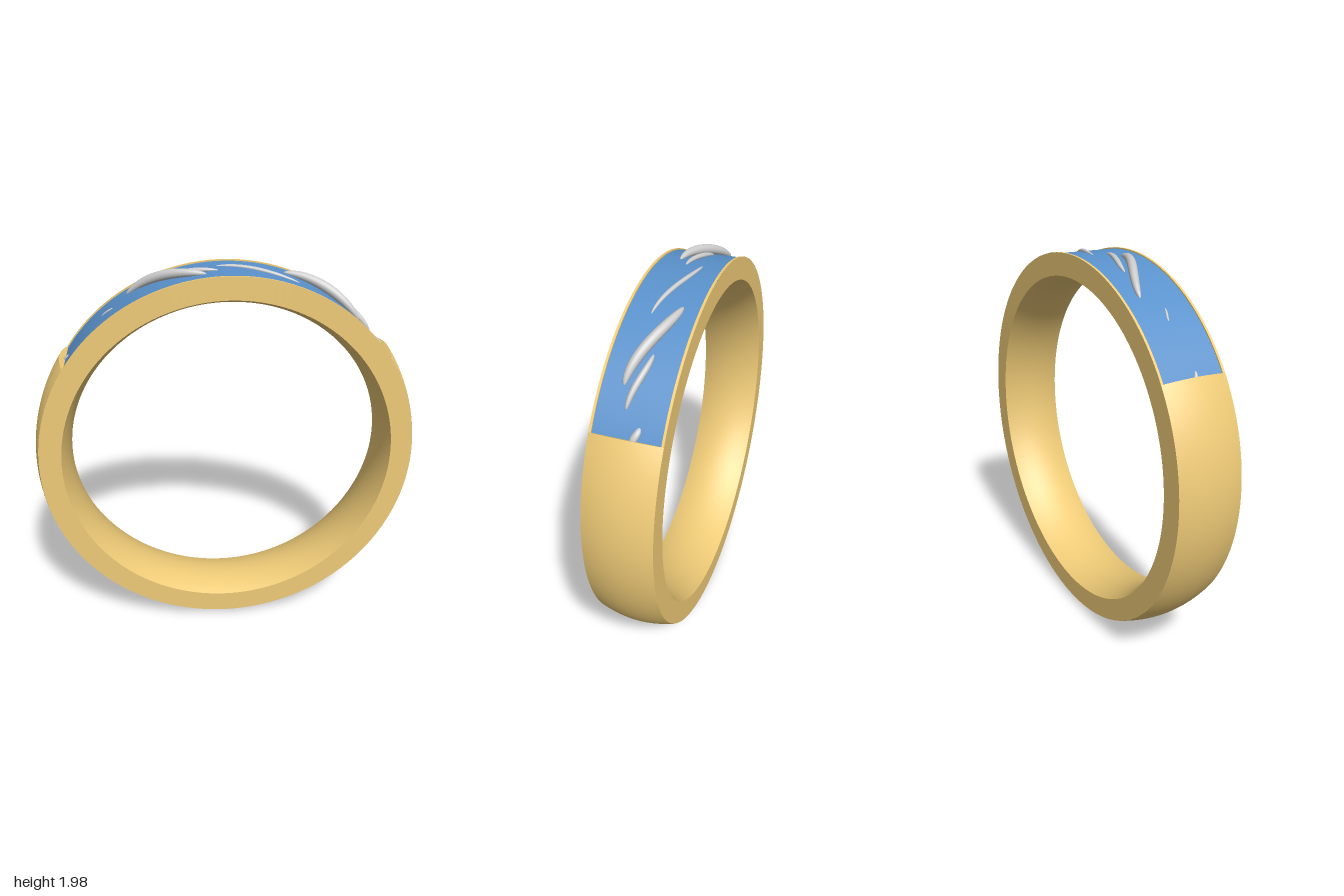
import * as THREE from 'three';

const CENTRE_Y = 1, HALF = 0.17, LIP = 0.158;
const R_EDGE = 0.972, R_CROWN = 1.0, R_FLOOR = 0.966, R_IN = 0.818, R_IN_EDGE = 0.858;
const END = THREE.MathUtils.degToRad(33.8); // angle above horizontal where the inlay starts

const gold = new THREE.MeshStandardMaterial({ color: 0xf0cc78, side: THREE.DoubleSide });
const blue = new THREE.MeshStandardMaterial({ color: 0x5a92cc, side: THREE.DoubleSide });
const silver = new THREE.MeshStandardMaterial({ color: 0xcccccc });

// Shallow bow from -z to +z: radius at the middle and at the edges
function bow(rMid, rEdge, half, n = 16) {
  return Array.from({ length: n + 1 }, (_, i) => {
    const t = (i / n) * 2 - 1;
    return new THREE.Vector2(rMid + (rEdge - rMid) * t * t, t * half);
  });
}

// Turn a (radius, z) profile about the z axis; angle 0 is at the bottom
function turn(name, profile, material, start = 0, length = Math.PI * 2) {
  const geo = new THREE.LatheGeometry(profile, 160, start, length).rotateX(Math.PI / 2);
  const mesh = new THREE.Mesh(geo, material);
  mesh.name = name;
  return mesh;
}

// Tapered, S-curved leaf lying on the inlay between two (x, z) points
function strand([x0, z0, x1, z1, width, height, lift]) {
  const geo = new THREE.SphereGeometry(1, 20, 36).rotateZ(-Math.PI / 2);
  const p = geo.attributes.position;
  const a0 = Math.asin(x0 / 0.975), a1 = Math.asin(x1 / 0.975);
  for (let i = 0; i < p.count; i++) {
    const u = p.getX(i), t = (u + 1) / 2;
    const s = THREE.MathUtils.lerp(t, t * t * (3 - 2 * t), 0.8);
    const a = THREE.MathUtils.lerp(a0, a1, t);
    const r = R_FLOOR + lift * (1 - u * u) + p.getY(i) * height;
    p.setXYZ(i, r * Math.sin(a), r * Math.cos(a), z0 + (z1 - z0) * s + p.getZ(i) * width);
  }
  geo.computeVertexNormals();
  const mesh = new THREE.Mesh(geo, silver);
  mesh.name = 'silverStrand';
  return mesh;
}

export function createModel() {
  const ring = new THREE.Group();
  ring.name = 'ring';
  ring.position.y = CENTRE_Y;
  const v = (r, z) => new THREE.Vector2(r, z);

  // Gold band: rounded inside, flat sides, domed outside below the inlay
  ring.add(turn('innerBand', bow(R_IN, R_IN_EDGE, HALF).reverse(), gold));
  ring.add(turn('backSide', [v(R_IN_EDGE, -HALF), v(R_EDGE, -HALF)], gold));
  ring.add(turn('frontSide', [v(R_EDGE, HALF), v(R_IN_EDGE, HALF)], gold));
  ring.add(turn('outerBand', bow(R_CROWN, R_EDGE, HALF), gold, -Math.PI / 2 - END, Math.PI + 2 * END));

  // Recessed inlay with thin lips along both sides
  const start = Math.PI / 2 + END, arc = Math.PI - 2 * END;
  ring.add(turn('inlay', [v(R_FLOOR, -LIP), v(R_FLOOR, LIP)], blue, start, arc));
  for (const s of [-1, 1]) {
    const top = [v(R_EDGE, s * LIP), v(R_EDGE, s * HALF)];
    if (s < 0) top.reverse();
    ring.add(turn('lip', top, gold, start, arc));
    ring.add(turn('lipWall', [v(R_FLOOR, s * LIP), v(R_EDGE, s * LIP)], gold, start, arc));
  }

  // End walls of the recess
  const step = new THREE.Shape([v(R_FLOOR, HALF), v(R_FLOOR, -HALF), ...bow(R_CROWN, R_EDGE, HALF)]);
  for (const s of [-1, 1]) {
    const wall = new THREE.Mesh(new THREE.ShapeGeometry(step), gold);
    const out = new THREE.Vector3(s * Math.cos(END), Math.sin(END), 0);
    const z = new THREE.Vector3(0, 0, 1);
    wall.quaternion.setFromRotationMatrix(
      new THREE.Matrix4().makeBasis(out, z, out.clone().cross(z)));
    wall.name = 'inlayEnd';
    ring.add(wall);
  }

  // Silver strands: x0, z0, x1, z1, half width, half height, lift
  const strands = [
    [-0.49, -0.07, -0.10, 0.07, 0.024, 0.024, 0.024],
    [-0.30, -0.035, -0.04, 0.022, 0.014, 0.012, 0.008],
    [-0.045, -0.058, 0.36, 0.046, 0.012, 0.01, 0.003],
    [0.30, -0.08, 0.665, 0.06, 0.027, 0.025, 0.026],
    [0.54, -0.03, 0.735, 0.026, 0.016, 0.016, 0.01],
    [0.775, -0.048, 0.825, -0.025, 0.018, 0.014, 0.004],
    [-0.615, 0.0, -0.555, 0.018, 0.006, 0.005, 0.001],
    [-0.825, 0.008, -0.79, 0.024, 0.009, 0.008, 0.001],
  ];
  for (const s of strands) ring.add(strand(s));

  const model = new THREE.Group();
  model.name = 'inlaidRing';
  model.add(ring);
  return model;
}
